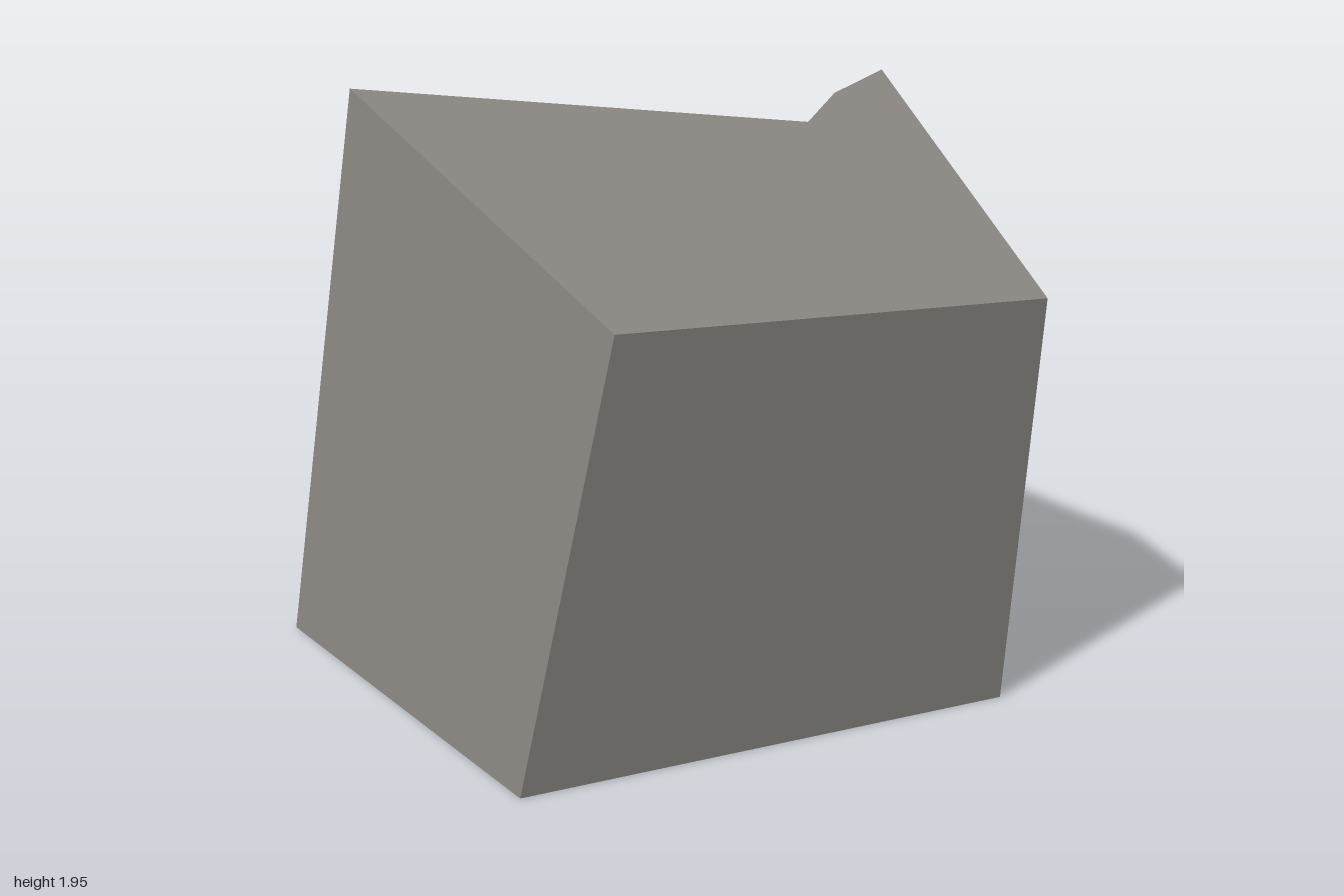
import * as THREE from 'three';

// Corners of the chipped stone block
const V = {
  frontRightBase: [-1, 0, 0.74], frontLeftBase: [0.7, 0, 0.74],
  backLeftBase: [0.7, 0, -0.955], backRightBase: [-1, 0, -0.955],
  frontRightTop: [-0.8, 1.44, 0.975], frontLeftTop: [1, 1.22, 0.515],
  backLeftTop: [0.92, 1.32, -0.91], backRightTop: [-0.74, 1.81, -0.98],
  peak: [0.55, 1.95, 0.22], ridge: [0.63, 1.8, -0.19], notch: [0.743, 1.64, -0.48],
};

// Each side is one or more fans of corners, counter-clockwise from outside
const sides = {
  frontSide: [['frontRightTop', 'frontRightBase', 'frontLeftBase', 'frontLeftTop']],
  backSide: [['backRightBase', 'backRightTop', 'backLeftTop', 'backLeftBase']],
  rightSide: [['backRightBase', 'frontRightBase', 'frontRightTop', 'backRightTop']],
  leftSide: [['backLeftBase', 'backLeftTop', 'notch', 'ridge', 'peak', 'frontLeftTop', 'frontLeftBase']],
  brokenTop: [
    ['frontRightTop', 'frontLeftTop', 'peak', 'ridge', 'notch', 'backRightTop'],
    ['notch', 'backLeftTop', 'backRightTop'],
  ],
  underside: [['frontRightBase', 'backRightBase', 'backLeftBase', 'frontLeftBase']],
};

// Builds a side whose triangles share one averaged normal
function sideGeometry(fans) {
  const points = [];
  const normal = new THREE.Vector3();
  for (const fan of fans) {
    const p = fan.map((name) => new THREE.Vector3(...V[name]));
    for (let i = 1; i < p.length - 1; i++) {
      points.push(p[0], p[i], p[i + 1]);
      normal.add(p[i].clone().sub(p[0]).cross(p[i + 1].clone().sub(p[0])));
    }
  }
  normal.normalize();
  const geometry = new THREE.BufferGeometry().setFromPoints(points);
  const normals = points.flatMap(() => normal.toArray());
  geometry.setAttribute('normal', new THREE.Float32BufferAttribute(normals, 3));
  return geometry;
}

export function createModel() {
  const stone = new THREE.MeshStandardMaterial({ color: 0x88847f });
  stone.name = 'stone grey';

  const block = new THREE.Group();
  block.name = 'stoneBlock';
  for (const [name, fans] of Object.entries(sides)) {
    const mesh = new THREE.Mesh(sideGeometry(fans), stone);
    mesh.name = name;
    block.add(mesh);
  }
  return block;
}
